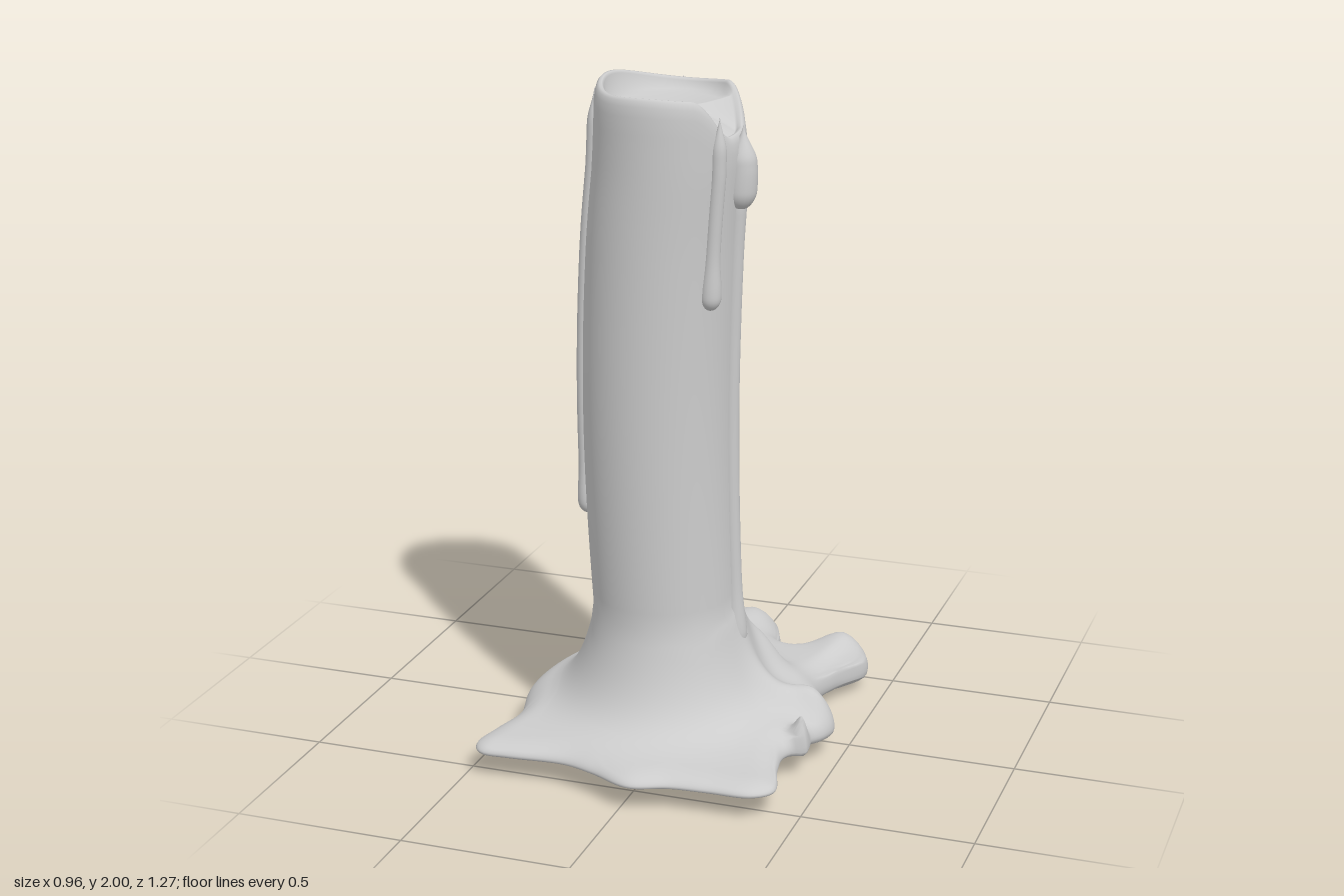
import * as THREE from 'three';

const { lerp, smoothstep, clamp } = THREE.MathUtils;
const COLS = 260;
const gauss = (d, s) => Math.exp(-(d * d) / (s * s));

// Outline of the wax puddle (x, z), counter-clockwise seen from above
const OUTLINE = [
  [0.475, 0.08], [0.44, 0], [0.36, -0.15], [0.38, -0.27], [0.44, -0.41], [0.42, -0.46], [0.35, -0.5],
  [0.28, -0.47], [0.2, -0.405], [0.15, -0.44], [0.12, -0.53], [0.08, -0.61], [0.01, -0.64], [-0.06, -0.6],
  [-0.09, -0.53], [-0.09, -0.42], [-0.13, -0.345], [-0.25, -0.28], [-0.38, -0.15], [-0.45, 0.02],
  [-0.465, 0.15], [-0.43, 0.32], [-0.46, 0.42], [-0.48, 0.52], [-0.45, 0.56], [-0.37, 0.56], [-0.2, 0.55],
  [-0.1, 0.58], [0.03, 0.635], [0.14, 0.6], [0.25, 0.59], [0.38, 0.58], [0.43, 0.53], [0.4, 0.4],
  [0.39, 0.31], [0.41, 0.27], [0.44, 0.26], [0.44, 0.21], [0.435, 0.18], [0.46, 0.14],
];

// Wax ridges on the puddle: x, z, width in x, width in z, height
const RIDGES = [
  [0, -0.2, 0.06, 0.12, 0.11], [0.43, 0.24, 0.03, 0.035, 0.1], [0.4, 0.07, 0.08, 0.045, 0.05],
  [0.27, 0.12, 0.1, 0.05, 0.04], [0.2, -0.08, 0.07, 0.06, 0.07], [0.35, -0.42, 0.07, 0.1, 0.03],
  [0.01, -0.52, 0.06, 0.1, 0.02],
];

// Gently bowed shaft
const axisX = (y) => -0.03 - 0.025 * Math.sin(Math.PI * clamp((y - 0.35) / 1.4, 0, 1)) + 0.012 * smoothstep(y, 1.5, 2);
const AXIS_Z = 0.115;
const shaftRadius = (y) => 0.215 + 0.006 * Math.sin(Math.PI * clamp((y - 0.4) / 1.5, 0, 1));
const onShaft = (a, y, r) => new THREE.Vector3(axisX(y) + r * Math.cos(a), y, AXIS_Z - r * Math.sin(a));

// Rim height: a spill notch on the +x side, a peak on the -x side
function rimHeight(a) {
  const off = Math.abs(Math.atan2(Math.sin(a), Math.cos(a)));
  return 1.97 - 0.11 * (1 - smoothstep(off, 0.25, 0.95)) + 0.03 * gauss(off - Math.PI, 0.7)
    + 0.006 * Math.sin(3 * a);
}

// Skin over a list of closed rings running from top to bottom
function loft(rings, name, material) {
  const n = rings[0].length, pos = [], index = [];
  rings.forEach((ring) => ring.forEach((p) => pos.push(p.x, p.y, p.z)));
  for (let i = 0; i < rings.length - 1; i++) {
    for (let j = 0; j < n; j++) {
      const k = (j + 1) % n, a = i * n + j, b = a + n, c = (i + 1) * n + k, d = i * n + k;
      index.push(a, b, c, a, c, d);
    }
  }
  const geo = new THREE.BufferGeometry();
  geo.setAttribute('position', new THREE.Float32BufferAttribute(pos, 3));
  geo.setIndex(index);
  geo.computeVertexNormals();
  const mesh = new THREE.Mesh(geo, material);
  mesh.name = name;
  return mesh;
}

// Puddle heights
const underside = (z) => Math.max(0, 0.045 + 0.054 * z - 0.035 * z * z);
const plateau = (z) => lerp(0.145, 0.105, smoothstep(z, -0.1, 0.6));
const edgeHeight = (z) => lerp(underside(z), plateau(z), 0.4);
function waxHeight(x, z) {
  const out = Math.max(0, Math.hypot(x + 0.03, z - AXIS_Z) - 0.215);
  let y = plateau(z) + 0.04 * Math.exp(-out / 0.15) + 0.27 * Math.exp(-out / 0.055);
  for (const [rx, rz, sx, sz, h] of RIDGES) y += h * gauss(x - rx, sx) * gauss(z - rz, sz);
  return y;
}

function candle(material) {
  const curve = new THREE.CatmullRomCurve3(OUTLINE.map(([x, z]) => new THREE.Vector3(x, 0, z)), true);
  const outline = curve.getSpacedPoints(COLS).slice(0, COLS);
  const angles = outline.map((p) => Math.atan2(AXIS_Z - p.z, p.x + 0.03));
  const rings = [];

  // Hollow top: pool of wax, then the rounded lip
  for (const f of [0, 0.3, 0.6, 0.85, 1]) {
    rings.push(angles.map((a) => {
      const p = onShaft(a, 1.96, 0.178 * f);
      p.y = lerp(1.915, Math.min(1.935, rimHeight(a) - 0.012), f * f);
      return p;
    }));
  }
  for (const [r, drop] of [[0.186, 0.008], [0.192, 0.001], [0.199, 0], [0.206, 0.007], [0.211, 0.022]]) {
    rings.push(angles.map((a) => onShaft(a, rimHeight(a) - drop, r)));
  }

  // Shaft
  const foot = angles.map((a) => waxHeight(-0.03 + 0.215 * Math.cos(a), AXIS_Z - 0.215 * Math.sin(a)));
  const ROWS = 30;
  for (let i = 0; i <= ROWS; i++) {
    rings.push(angles.map((a, j) => {
      const y = lerp(rimHeight(a) - 0.05, foot[j], i / ROWS);
      return onShaft(a, y, shaftRadius(y));
    }));
  }

  // Flared foot and puddle, rounded by the distance to the outline
  const roundOver = (x, z) => {
    let d = Infinity;
    for (const p of outline) d = Math.min(d, Math.hypot(x - p.x, z - p.z));
    const u = 1 - Math.min(1, d / 0.075);
    return Math.sqrt(1 - u * u);
  };
  const start = rings[rings.length - 1];
  const FLARE = 30;
  for (let i = 1; i <= FLARE; i++) {
    const s = i / FLARE, t = s < 0.5 ? s : 1 - 2 * (1 - s) ** 2;
    rings.push(outline.map((p, j) => {
      const x = lerp(start[j].x, p.x, t), z = lerp(start[j].z, p.z, t);
      return new THREE.Vector3(x, lerp(edgeHeight(z), waxHeight(x, z), roundOver(x, z)), z);
    }));
  }

  // Underside
  for (let i = 1; i <= 14; i++) {
    const t = 1 - (i / 14) ** 2;
    rings.push(outline.map((p) => {
      const x = lerp(-0.03, p.x, t), z = lerp(AXIS_Z, p.z, t);
      return new THREE.Vector3(x, lerp(edgeHeight(z), underside(z), roundOver(x, z)), z);
    }));
  }
  return loft(rings, 'candleBody', material);
}

// Wax run clinging to the shaft, with a swollen end
function drip(name, angle, top, bottom, width, inset, material) {
  const rings = [], ROWS = 48, SIDES = 20, len = top - bottom;
  for (let i = 0; i <= ROWS; i++) {
    const s = 0.5 - 0.5 * Math.cos((Math.PI * i) / ROWS), y = lerp(top, bottom, s);
    const fromEnd = y - bottom, cap = Math.min(1, fromEnd / (width * 1.2));
    const taper = smoothstep(s * len, -0.01, 0.1);
    const swell = 0.72 + 0.28 * gauss(fromEnd - width * 1.3, width * 2.5);
    const r = i === 0 ? 0 : width * swell * taper * Math.sqrt(1 - (1 - cap) ** 2);
    const c = onShaft(angle, y, shaftRadius(y) - inset);
    rings.push(Array.from({ length: SIDES }, (_, j) => {
      const a = (j / SIDES) * Math.PI * 2;
      return new THREE.Vector3(c.x + r * Math.cos(a), y, c.z - r * Math.sin(a));
    }));
  }
  return loft(rings, name, material);
}

export function createModel() {
  const wax = new THREE.MeshStandardMaterial({ color: 0xcccccc, roughness: 0.7 });
  const group = new THREE.Group();
  group.name = 'meltedCandle';
  group.add(
    candle(wax),
    drip('frontDrip', -0.56, 1.92, 1.375, 0.03, 0, wax),
    drip('spillDrip', -0.02, 1.88, 1.64, 0.046, 0, wax),
    drip('longSpillDrip', -0.02, 1.75, 0.325, 0.035, 0.004, wax),
    drip('sideDrip', Math.PI + 0.26, 1.97, 0.71, 0.029, 0.002, wax),
    drip('backDrip', 1.73, 1.97, 0.25, 0.045, 0.015, wax),
  );
  return group;
}
